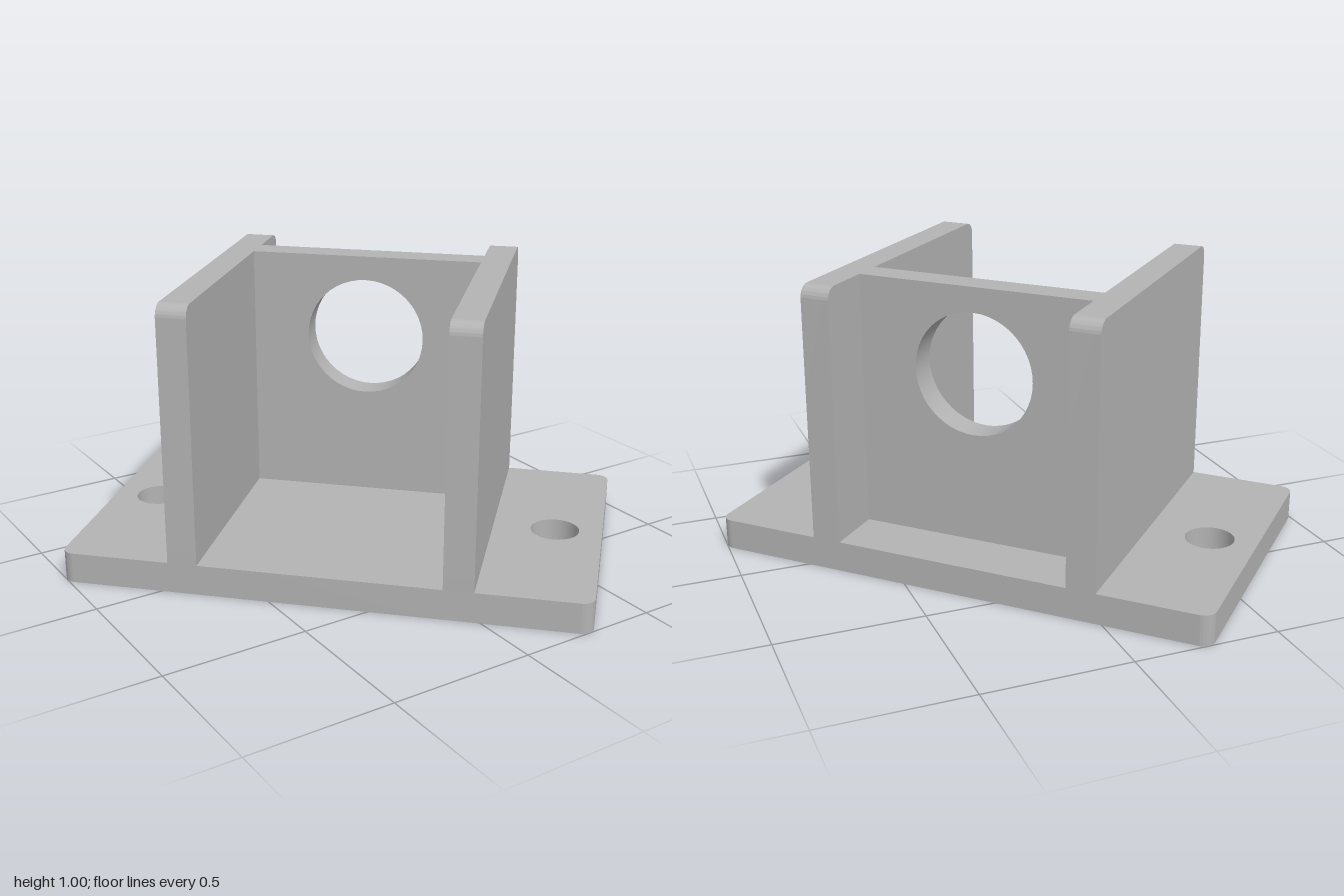
import * as THREE from 'three';
import { toCreasedNormals } from 'three/addons/utils/BufferGeometryUtils.js';

const BASE_H = 0.107, TOP = 1, HALF_L = 0.898, HALF_W = 0.54, R = 0.043;
const WALL_IN = 0.414, WALL_T = 0.102;

// Rectangle with separate radii for the bottom and top corners
function plateShape(x0, y0, x1, y1, rBottom, rTop) {
  const s = new THREE.Shape();
  const corner = (x, y, r, a) => {
    if (r > 0) s.absarc(x, y, r, a, a + Math.PI / 2, false);
    else s.lineTo(x, y);
  };
  s.moveTo(x0 + rBottom, y0);
  corner(x1 - rBottom, y0 + rBottom, rBottom, -Math.PI / 2);
  corner(x1 - rTop, y1 - rTop, rTop, 0);
  corner(x0 + rTop, y1 - rTop, rTop, Math.PI / 2);
  corner(x0 + rBottom, y0 + rBottom, rBottom, Math.PI);
  return s;
}

function addHole(shape, x, y, r) {
  shape.holes.push(new THREE.Path().absarc(x, y, r, 0, Math.PI * 2, true));
}

function extrude(shape, depth) {
  const g = new THREE.ExtrudeGeometry(shape, { depth, bevelEnabled: false, curveSegments: 24 });
  return toCreasedNormals(g, Math.PI / 6);
}

export function createModel() {
  const grey = new THREE.MeshStandardMaterial({ color: 0xb3b3b3 });
  grey.name = 'light grey';
  const group = new THREE.Group();
  group.name = 'mountingBracket';
  const add = (name, geometry) => {
    const mesh = new THREE.Mesh(geometry, grey);
    mesh.name = name;
    group.add(mesh);
  };

  // Base plate with two bolt holes
  const base = plateShape(-HALF_L, -HALF_W, HALF_L, HALF_W, R, R);
  for (const side of [-1, 1]) addHole(base, side * 0.733, 0, 0.085);
  add('basePlate', extrude(base, BASE_H).rotateX(-Math.PI / 2));

  // Two side walls with rounded top corners
  for (const [name, x] of [['leftWall', WALL_IN], ['rightWall', -WALL_IN - WALL_T]]) {
    const wall = plateShape(-HALF_W, BASE_H, HALF_W, TOP, 0, R);
    add(name, extrude(wall, WALL_T).rotateY(Math.PI / 2).translate(x, 0, 0));
  }

  // Cross wall with a large round opening
  const cross = plateShape(-WALL_IN, BASE_H, WALL_IN, TOP, 0, 0);
  addHole(cross, 0, 0.702, 0.212);
  add('crossWall', extrude(cross, 0.103).translate(0, 0, -0.335));

  // The bracket stands diagonally
  group.rotation.y = -Math.PI / 4;
  const model = new THREE.Group();
  model.name = 'model';
  model.add(group);
  return model;
}
